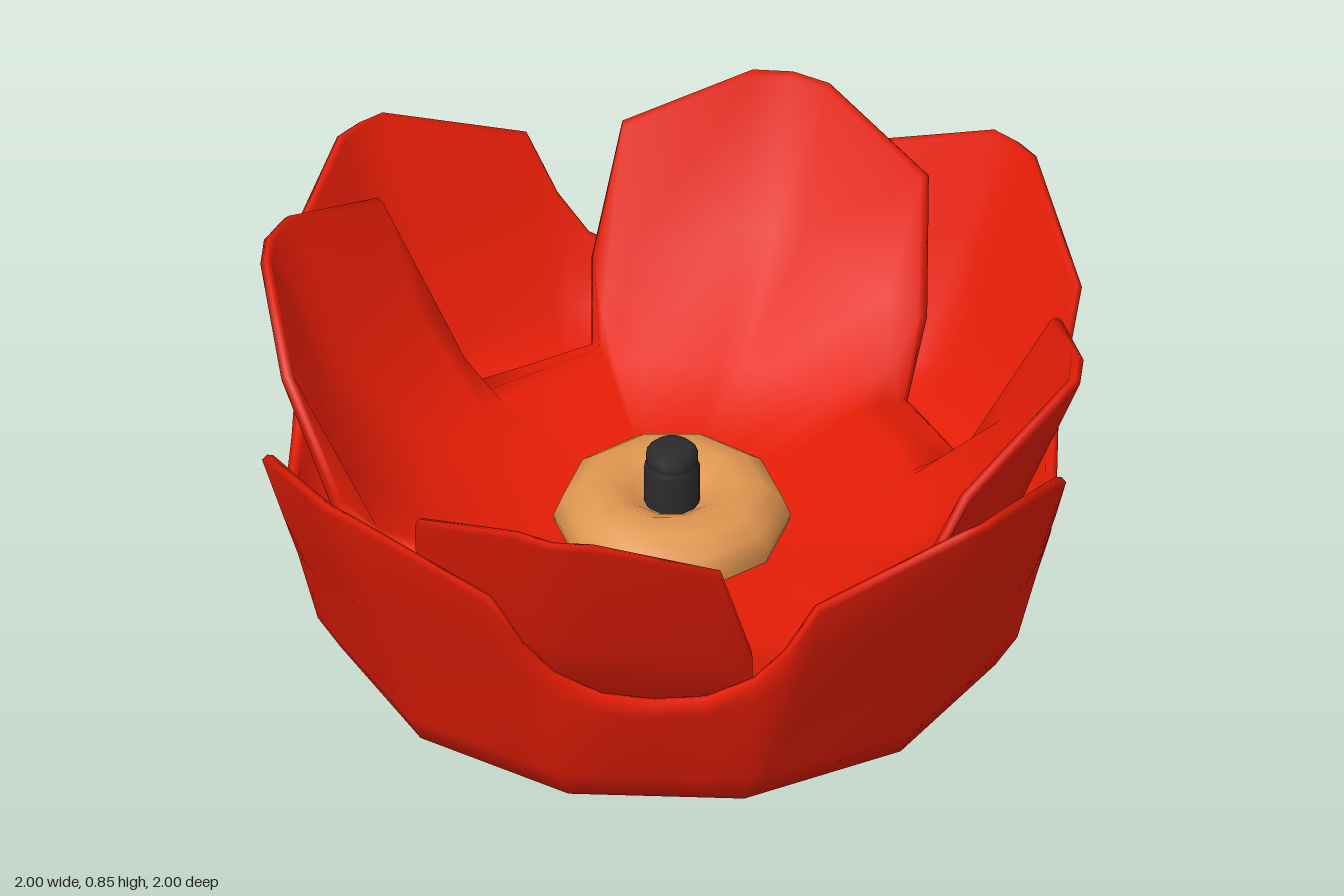
import * as THREE from 'three';

const material = (name, color) => {
  const m = new THREE.MeshStandardMaterial({ color });
  m.name = name;
  return m;
};

// Rim of half a petal: [degrees from petal centre, radius, height]
const OUTER_RIM = [[0, 1.085, 0.8], [3.5, 1.08, 0.8], [22.5, 1.007, 0.67], [26, 0.955, 0.52], [30, 0.915, 0.425], [37, 0.895, 0.37], [45, 0.89, 0.36]];
const INNER_RIM = [[0, 0.985, 0.845], [5.5, 0.97, 0.845], [24, 0.91, 0.735], [30, 0.81, 0.43], [31.5, 0.73, 0.24], [45, 0.72, 0.23]];

// Four-petalled thick cup, lofted around the axis from closed wall profiles
function petalCup(halfRim, centre, profileAt, mat, name) {
  const mirrored = halfRim.slice(1, -1).map(([a, r, y]) => [-a, r, y]).reverse();
  const columns = [];
  for (let k = 0; k < 4; k++) {
    for (const [a, r, y] of [...mirrored, ...halfRim]) {
      columns.push({ angle: THREE.MathUtils.degToRad(centre + k * 90 + a), profile: profileAt(r, y, a) });
    }
  }
  const rows = columns[0].profile.length;
  const positions = [];
  const index = [];
  columns.forEach(({ angle, profile }, i) => {
    const next = (i + 1) % columns.length;
    profile.forEach(([r, y], j) => {
      positions.push(r * Math.sin(angle), y, r * Math.cos(angle));
      if (j === rows - 1) return;
      const a = i * rows + j, b = next * rows + j;
      if (j > 0) index.push(a, b, b + 1);
      if (j < rows - 2) index.push(a, b + 1, a + 1);
    });
  });
  const geometry = new THREE.BufferGeometry();
  geometry.setAttribute('position', new THREE.Float32BufferAttribute(positions, 3));
  geometry.setIndex(index);
  geometry.computeVertexNormals();
  const mesh = new THREE.Mesh(geometry, mat);
  mesh.name = name;
  return mesh;
}

// Point part-way up a wall, bellied outward in proportion to wall height
const along = (r0, y0, r1, y1, t, belly) =>
  [r0 + (r1 - r0) * t + belly * (y1 - y0), y0 + (y1 - y0) * t];

// Rounded lip at the top of a wall
const lip = (r, y) => [[r, y - 0.012], [r - 0.012, y], [r - 0.028, y - 0.006]];

// Radius factor of a twelve-sided outline with a corner at each petal centre
const twelveSided = (degrees) => {
  const offset = ((degrees + 360) % 30) - 15;
  return Math.cos(Math.PI / 12) / Math.cos(THREE.MathUtils.degToRad(offset));
};

const outerProfile = (r, y, angle) => {
  const side = twelveSided(angle);
  return [
    [0, 0], [0.785 * side, 0], [0.838 * side, 0.09], [0.885 * (1 + side) / 2, 0.28],
    along(0.885, 0.28, r, y, 0.5, 0.015),
    ...lip(r, y),
    along(0.84, 0.28, r - 0.028, y, 0.5, 0.015),
    [0.82, 0.28], [0.74, 0.2], [0, 0.14],
  ];
};

// The floor crests, then climbs into each petal and dips between them
const innerProfile = (r, y) => [
  [0, 0.17], [0.7, 0.18],
  along(0.66, 0.19, r, y, 0.4, 0.07),
  ...lip(r, y),
  along(0.62, 0.27, r - 0.028, y, 0.4, 0.09),
  [0.575, 0.275], [0.3, 0.235], [0, 0.225],
];

function lathe(points, segments, mat, name) {
  const geometry = new THREE.LatheGeometry(points.map(([x, y]) => new THREE.Vector2(x, y)), segments);
  const mesh = new THREE.Mesh(geometry, mat);
  mesh.name = name;
  return mesh;
}

export function createModel() {
  const red = material('petal red', 0xe51d06);
  const tan = material('pollen tan', 0xdf9650);
  const black = material('pistil black', 0x2b2b2b);

  const flower = new THREE.Group();
  flower.name = 'flower';

  // Petals
  flower.add(petalCup(OUTER_RIM, -30, outerProfile, red, 'outerPetals'));
  flower.add(petalCup(INNER_RIM, 1, innerProfile, red, 'innerPetals'));

  // Dimpled pollen ring
  flower.add(lathe([[0.26, 0.2], [0.275, 0.255], [0.255, 0.305], [0.21, 0.34], [0.15, 0.35], [0.1, 0.325], [0.05, 0.29]],
    10, tan, 'pollenRing'));

  // Pistil with a bevelled cap
  flower.add(lathe([[0.065, 0.2], [0.065, 0.395], [0.056, 0.4], [0.06, 0.41], [0.06, 0.435], [0.045, 0.45], [0, 0.45]],
    16, black, 'pistil'));

  return flower;
}
